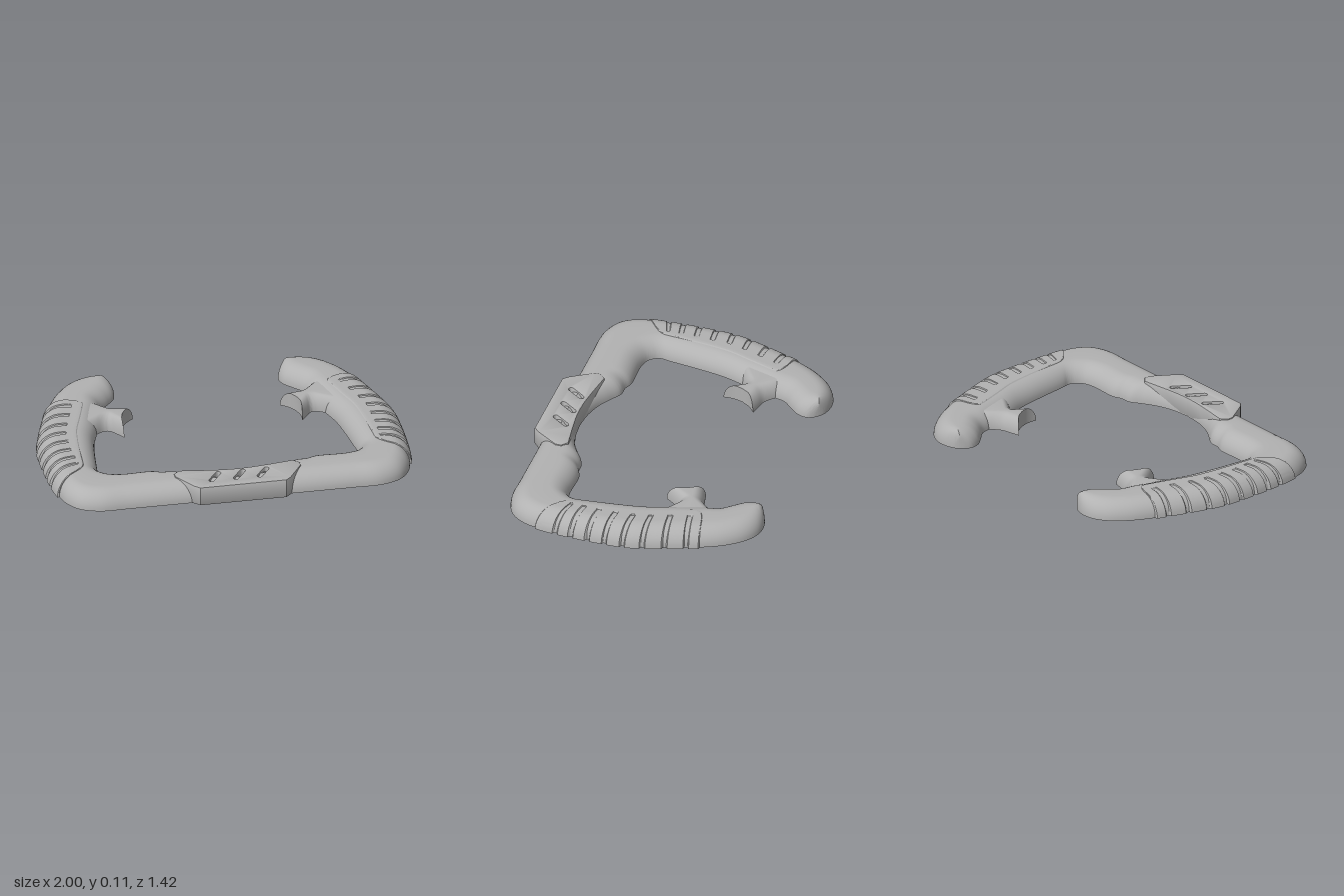
import * as THREE from 'three';
import { toCreasedNormals } from 'three/addons/utils/BufferGeometryUtils.js';

const H = 0.104;

// paired edge points: outerX, outerZ, innerX, innerZ, from the middle of the bar to the handle tip
const FRAME = [
  [0, .663, 0, .525], [.1, .663, .1, .515], [.2, .663, .2, .485], [.28, .663, .28, .44],
  [.34, .663, .34, .403], [.4, .663, .4, .398], [.45, .663, .45, .38], [.62, .663, .62, .38],
  [.78, .66, .68, .362], [.885, .615, .71, .33], [.945, .53, .718, .31], [.968, .44, .72, .29],
  [.98, .33, .714, .26], [.986, .1, .69, .07], [.978, -.06, .665, -.08], [.939, -.21, .63, -.19],
  [.89, -.36, .595, -.31], [.862, -.44, .57, -.39], [.8, -.565, .556, -.45], [.725, -.657, .505, -.51],
  [.65, -.702, .465, -.56], [.58, -.711, .452, -.615], [.515, -.695, .466, -.65], [.487, -.675, .486, -.674],
];
const TRIGGER = [
  [.66, -.48, .72, -.13], [.59, -.42, .64, -.185], [.545, -.375, .59, -.215], [.51, -.35, .555, -.215],
  [.46, -.337, .525, -.18], [.405, -.325, .49, -.13],
];

function edges(pairs) {
  const curve = k => new THREE.CatmullRomCurve3(pairs.map(p => new THREE.Vector3(p[k], 0, p[k + 1])));
  const outer = curve(0), inner = curve(2);
  return u => [outer.getPoint(u), inner.getPoint(u)];
}

// point and normal on a flat-bottomed section with rounded shoulders, d measured from the outer edge
function sectionPoint(o, n, d, r, h) {
  const w = o.distanceTo(n), dir = n.clone().sub(o).normalize();
  const near = Math.min(d, w - d), c = 1 - Math.min(Math.max(near, 0) / r, 1);
  const y = h * Math.sqrt(1 - c * c);
  const point = o.clone().addScaledVector(dir, d).setY(y);
  const normal = dir.multiplyScalar(d < w / 2 ? -c : c).setY(y / h).normalize();
  return { point, normal };
}

function sectionRow(o, n, r, h) {
  const w = o.distanceTo(n), N = 9, row = [];
  const end = Math.acos(1 - Math.min(1, w / 2 / r));
  const half = [];
  for (let i = 0; i <= N; i++) half.push(r * (1 - Math.cos(end * i / N)));
  const ds = [...half, w / 2, ...half.slice().reverse().map(d => w - d)];
  for (const d of ds) row.push(sectionPoint(o, n, d, r, h).point);
  return row;
}

// skin a grid of rows; a solid skin also gets a flat base and an end wall
function skin(rows, solid) {
  const pos = [], idx = [], m = rows[0].length, k = rows.length;
  rows.forEach(r => r.forEach(p => pos.push(p.x, p.y, p.z)));
  if (solid) rows.forEach(r => r.forEach(p => pos.push(p.x, 0, p.z)));
  const base = m * k;
  for (let j = 0; j < k - 1; j++) for (let i = 0; i < m - 1; i++) {
    const a = j * m + i, b = a + m;
    idx.push(a, b, a + 1, b, b + 1, a + 1);
    if (solid) idx.push(base + a, base + a + 1, base + b, base + b, base + a + 1, base + b + 1);
  }
  if (solid) for (let i = 0; i < m - 1; i++) {
    const t = (k - 1) * m + i, b = base + t;
    idx.push(b, b + 1, t, b + 1, t + 1, t);
  }
  const g = new THREE.BufferGeometry();
  g.setAttribute('position', new THREE.Float32BufferAttribute(pos, 3));
  g.setIndex(idx);
  return g;
}

function mirrored(geo) {
  const g = geo.clone().scale(-1, 1, 1), a = g.index.array;
  for (let i = 0; i < a.length; i += 3) [a[i], a[i + 1]] = [a[i + 1], a[i]];
  return g;
}

function frameGeometry() {
  const at = edges(FRAME), rows = [];
  for (let j = 0; j <= 160; j++) rows.push(sectionRow(...at(j / 160), .105, H));
  return skin(rows, true);
}

function triggerGeometry() {
  const at = edges(TRIGGER), rows = [];
  for (let j = 0; j <= 24; j++) {
    const t = j / 24, [o, n] = at(t), row = sectionRow(o, n, .065, .09);
    // hollow out the finger face
    row.forEach(p => {
      const s = p.clone().setY(0).distanceTo(o) / o.distanceTo(n);
      const bow = .14 * s * (1 - s) * t * t;
      p.x += bow * .9;
      p.z -= bow * .4;
    });
    rows.push(row);
  }
  return skin(rows, true);
}

// raised grip panel with finger grooves
function gripGeometry() {
  const at = edges(FRAME), last = FRAME.length - 1, rows = [], K = 240, M = 32;
  const grooves = [-.37, -.26, -.145, -.04, .06, .155, .25, .34];
  for (let j = 0; j <= K; j++) {
    const v = j / K, [o, n] = at((10.8 + 6.2 * v) / last);
    const w = o.distanceTo(n);
    const round = Math.pow(Math.max(0, 1 - Math.pow(Math.abs(2 * v - 1), 14)), .4);
    const reach = w * (.68 + .05 * v) * round;
    const gap = Math.min(...grooves.map(z => Math.abs(o.z - z)));
    const row = [o.clone()];
    for (let i = 0; i <= M; i++) {
      const d = reach * Math.pow(i / M, 1.4);
      const { point, normal } = sectionPoint(o, n, d, .105, H);
      const rim = Math.min(1, (reach - d) / .014, v / .012, (1 - v) / .012);
      let lift = -.003 + .016 * Math.sqrt(Math.max(0, rim)) * (1 - .5 * normal.y);
      const cut = Math.max(0, 1 - Math.pow(gap / .014, 4)) * THREE.MathUtils.clamp((.155 - d) / .012, 0, 1);
      lift -= .013 * cut * Math.max(0, rim);
      row.push(point.addScaledVector(normal, lift).setY(Math.max(0, point.y)));
    }
    rows.push(row);
  }
  return skin(rows, false);
}

// centre block with three slanted slots
function blockGeometry() {
  const half = [[.235, .698], [.262, .672], [.34, .55], [.34, .52], [.31, .494], [.25, .503], [.17, .515], [.08, .526]];
  const pts = [...half, [0, .53], ...half.slice().reverse().map(([x, z]) => [-x, z])];
  const shape = new THREE.Shape(pts.map(([x, z]) => new THREE.Vector2(x, -z)));
  for (const cx of [-.135, 0, .13]) {
    const slot = new THREE.Path(), a = Math.atan2(.09, .062), r = .019, L = .045;
    const ex = Math.cos(a) * L, ey = Math.sin(a) * L;
    slot.absarc(cx + ex, -.59 + ey, r, a - Math.PI / 2, a + Math.PI / 2);
    slot.absarc(cx - ex, -.59 - ey, r, a + Math.PI / 2, a + Math.PI * 1.5);
    shape.holes.push(slot);
  }
  const g = new THREE.ExtrudeGeometry(shape, {
    depth: .097, bevelThickness: .006, bevelSize: .006, bevelSegments: 2, curveSegments: 8,
  });
  return g.rotateX(-Math.PI / 2).translate(0, .007, 0);
}

export function createModel() {
  const model = new THREE.Group();
  const grey = new THREE.MeshStandardMaterial({ color: 0xb2b2b2, side: THREE.DoubleSide });
  grey.name = 'grey';
  const add = (name, geo) => {
    const mesh = new THREE.Mesh(geo, grey);
    mesh.name = name;
    model.add(mesh);
    return mesh;
  };
  const parts = { Handle: [frameGeometry(), .6], Trigger: [triggerGeometry(), .7], Grip: [gripGeometry(), .5] };
  for (const [name, [geo, crease]] of Object.entries(parts)) {
    add('left' + name, toCreasedNormals(geo, crease));
    add('right' + name, toCreasedNormals(mirrored(geo), crease));
  }
  add('centreBlock', toCreasedNormals(blockGeometry(), .5));

  // fastener seats on the flat underside
  for (const side of [-1, 1]) for (const [x, z] of [[.61, -.57], [.83, .51]]) {
    add('fastenerSeat', new THREE.CylinderGeometry(.022, .022, .003, 6)).position.set(side * x, 0, z);
  }
  return model;
}
